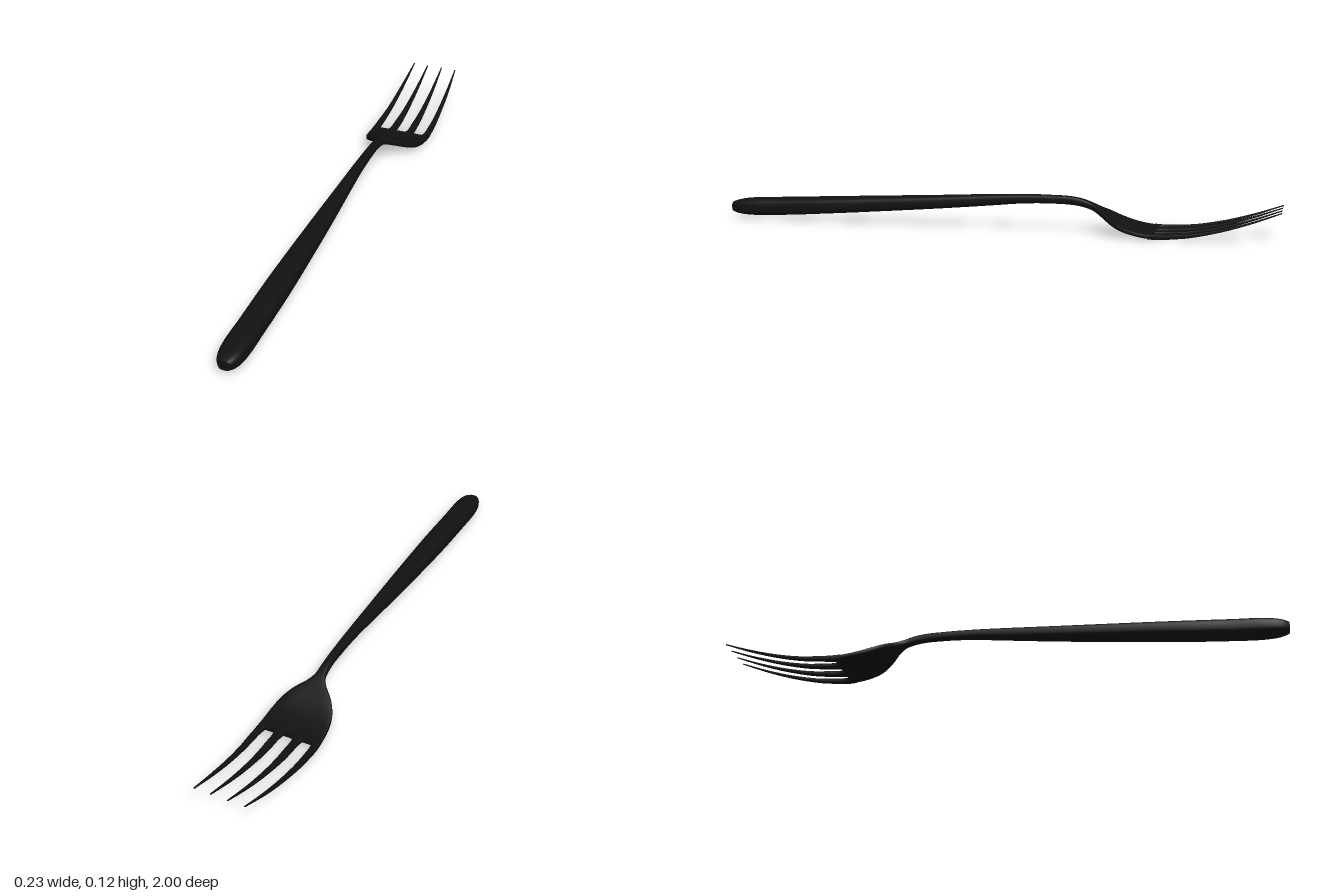
import * as THREE from 'three';

// Smooth curve through keys [z, ...values], z ascending
function track(keys) {
  const size = keys[0].length - 1;
  const f = new THREE.CubicInterpolant(keys.map(k => k[0]), keys.flatMap(k => k.slice(1)), size);
  return z => Array.from(f.evaluate(z));
}

// Side profile shared by every part: underside and top height along z
const profile = track([
  [-1, 0.102, 0.106], [-0.9, 0.064, 0.071], [-0.8, 0.033, 0.043], [-0.7, 0.011, 0.024],
  [-0.65, 0.005, 0.02], [-0.58, 0, 0.018], [-0.5, 0.011, 0.03], [-0.45, 0.026, 0.049],
  [-0.4, 0.053, 0.077], [-0.35, 0.078, 0.104], [-0.3, 0.09, 0.119], [-0.2, 0.094, 0.124],
  [-0.1, 0.09, 0.123], [0, 0.08, 0.119], [0.2, 0.061, 0.108], [0.4, 0.044, 0.098],
  [0.6, 0.028, 0.088], [0.8, 0.014, 0.078], [0.93, 0.01, 0.071], [0.98, 0.015, 0.063], [1, 0.021, 0.056]
]);

// Half width of the handle, neck and palm along z
const bodyWidth = track([
  [-0.6, 0.113], [-0.55, 0.112], [-0.5, 0.108], [-0.45, 0.095], [-0.41, 0.069], [-0.38, 0.038],
  [-0.355, 0.021], [-0.32, 0.016], [-0.2, 0.016], [0, 0.022], [0.2, 0.031], [0.4, 0.038],
  [0.6, 0.043], [0.8, 0.043], [0.93, 0.042], [0.97, 0.036], [0.99, 0.028], [1, 0.02]
]);

// Inner and outer edges of the tines on the +x side
const outerTine = track([
  [-1, 0.086, 0.09], [-0.88, 0.088, 0.1], [-0.75, 0.09, 0.107],
  [-0.65, 0.091, 0.112], [-0.6, 0.09, 0.113], [-0.585, 0.087, 0.113], [-0.56, 0.08, 0.112]
]);
const innerTine = track([
  [-1, 0.028, 0.032], [-0.88, 0.026, 0.038], [-0.75, 0.024, 0.043],
  [-0.65, 0.022, 0.047], [-0.6, 0.022, 0.048], [-0.585, 0.019, 0.051], [-0.56, 0.014, 0.056]
]);

// Closed loft of rounded-box sections from z0 back to z1; edges(z) gives [xMin, xMax]
function loft(z0, z1, steps, edges, power, n = 32) {
  const pos = [], idx = [];
  const ring = z => {
    const [x0, x1] = edges(z), [y0, y1] = profile(z), p = 2 / power(z);
    for (let j = 0; j < n; j++) {
      const a = (j / n) * Math.PI * 2, c = Math.cos(a), s = Math.sin(a);
      pos.push(
        (x0 + x1) / 2 + Math.sign(c) * Math.abs(c) ** p * (x1 - x0) / 2,
        (y0 + y1) / 2 + Math.sign(s) * Math.abs(s) ** p * (y1 - y0) / 2, z);
    }
  };
  for (let i = 0; i <= steps; i++) ring(z0 + (z1 - z0) * i / steps);
  for (let i = 0; i < steps; i++) {
    for (let j = 0; j < n; j++) {
      const k = (j + 1) % n, a = i * n + j, b = i * n + k;
      idx.push(a, a + n, b, b, a + n, b + n);
    }
  }
  // flat end caps with their own vertices
  for (const [z, front] of [[z0, true], [z1, false]]) {
    const start = pos.length / 3;
    ring(z);
    for (let j = 1; j < n - 1; j++) {
      if (front) idx.push(start, start + j, start + j + 1);
      else idx.push(start, start + j + 1, start + j);
    }
  }
  const g = new THREE.BufferGeometry();
  g.setAttribute('position', new THREE.Float32BufferAttribute(pos, 3));
  g.setIndex(idx);
  g.computeVertexNormals();
  return g;
}

export function createModel() {
  const group = new THREE.Group();
  group.name = 'fork';
  const material = new THREE.MeshStandardMaterial({ color: 0x111111 });
  const add = (name, geometry) => {
    const mesh = new THREE.Mesh(geometry, material);
    mesh.name = name;
    group.add(mesh);
  };

  // handle, neck and palm in one piece; the section gets squarer in the palm
  const bodyEdges = z => { const [w] = bodyWidth(z); return [-w, w]; };
  const bodyPower = z => 3 + 3 * THREE.MathUtils.smoothstep(-z, 0.33, 0.5);
  add('handleAndPalm', loft(1, -0.578, 160, bodyEdges, bodyPower));

  // four tapering tines, mirrored left and right
  for (const [name, edges] of [['OuterTine', outerTine], ['InnerTine', innerTine]]) {
    add('left' + name, loft(-0.56, -1, 40, edges, () => 5, 24));
    add('right' + name, loft(-0.56, -1, 40, z => { const [a, b] = edges(z); return [-b, -a]; }, () => 5, 24));
  }
  return group;
}
